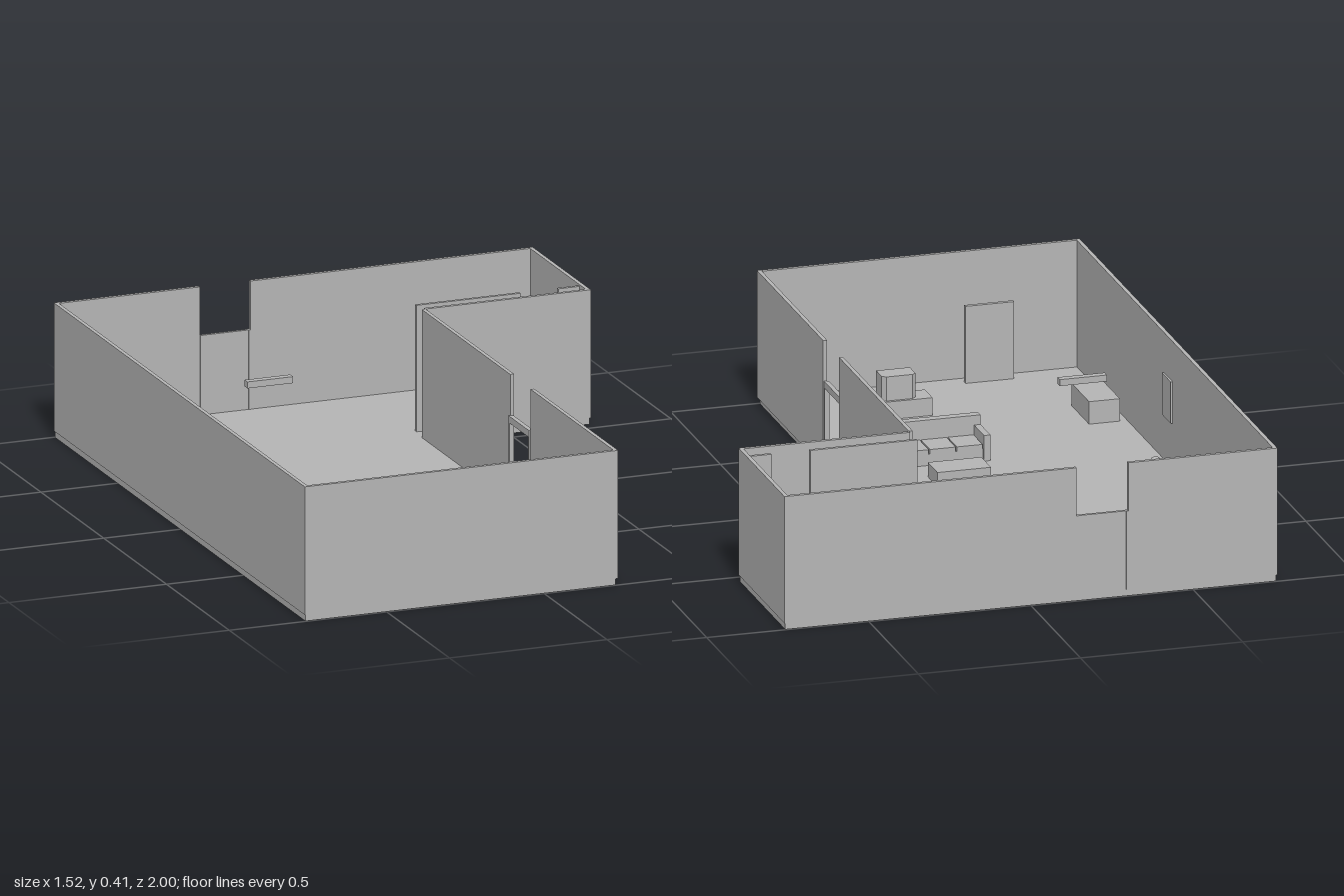
import * as THREE from 'three';

const grey = new THREE.MeshStandardMaterial({ color: 0xb4b4b4 });
grey.name = 'plain grey';

const FLOOR = 0.02, TOP = 0.415, T = 0.012, DOOR = 0.265;

function add(parent, name, geometry) {
  const mesh = new THREE.Mesh(geometry, grey);
  mesh.name = name;
  parent.add(mesh);
  return mesh;
}

// Box given by its limits on each axis
function block(parent, name, x0, x1, y0, y1, z0, z1) {
  const mesh = add(parent, name, new THREE.BoxGeometry(x1 - x0, y1 - y0, z1 - z0));
  mesh.position.set((x0 + x1) / 2, (y0 + y1) / 2, (z0 + z1) / 2);
  return mesh;
}

function section(parent, name) {
  const group = new THREE.Group();
  group.name = name;
  parent.add(group);
  return group;
}

// Two posts and a header, running along x
function doorFrame(parent, width, depth) {
  const h = width / 2;
  for (const s of [-1, 1]) {
    const post = block(parent, 'doorPost', -0.003, 0.003, FLOOR, 0.27, -depth / 2, depth / 2);
    post.position.x = s * (h - 0.003);
  }
  block(parent, 'doorHeader', -h, h, 0.267, 0.288, -depth / 2, depth / 2);
}

export function createModel() {
  const room = new THREE.Group();
  room.name = 'room';

  // L-shaped floor slab
  const plan = new THREE.Shape([
    [-0.757, -0.997], [0.227, -0.997], [0.227, 0.538], [0.757, 0.538], [0.757, 0.997], [-0.757, 0.997],
  ].map(([x, y]) => new THREE.Vector2(x, y)));
  const slab = new THREE.ExtrudeGeometry(plan, { depth: FLOOR, bevelEnabled: false });
  slab.rotateX(-Math.PI / 2);
  add(room, 'floor', slab);

  // Outer walls: x0, x1, z0, z1, with full-height gaps at the doorways
  const walls = section(room, 'walls');
  for (const [x0, x1, z0, z1] of [
    [-0.76, -0.76 + T, -1, 1],
    [-0.76 + T, 0.235 - T, 1 - T, 1],
    [0.235 - T, 0.235, 0.33, 1],
    [0.235 - T, 0.235, -0.535, 0.17],
    [0.235, 0.76 - T, -0.535 - T, -0.535],
    [0.76 - T, 0.76, -1, -0.535],
    [-0.14, 0.76 - T, -1, -1 + T],
    [-0.76 + T, -0.3, -1, -1 + T],
  ]) block(walls, 'wall', x0, x1, FLOOR, TOP, z0, z1);

  // Partition of the side room, with a door in its gap
  const partition = section(room, 'partition');
  block(partition, 'partitionWall', 0.23, 0.56, FLOOR, 0.41, -0.605, -0.594);
  block(partition, 'partitionWall', 0.68, 0.748, FLOOR, 0.41, -0.605, -0.594);
  block(partition, 'partitionDoor', 0.56, 0.68, FLOOR, DOOR, -0.603, -0.596);

  // Side doorway, open
  const sideDoor = section(room, 'sideDoorway');
  doorFrame(sideDoor, 0.16, 0.014);
  sideDoor.rotation.y = Math.PI / 2;
  sideDoor.position.set(0.225, 0, 0.25);

  // Back doorway, closed
  const backDoor = section(room, 'backDoor');
  block(backDoor, 'doorPanel', -0.08, 0.08, FLOOR, DOOR, -0.005, 0.005);
  for (const s of [-1, 1]) {
    block(backDoor, 'doorPost', s * 0.077 - 0.003, s * 0.077 + 0.003, FLOOR, DOOR, -0.007, 0.007);
  }
  backDoor.position.set(-0.22, 0, -0.993);

  // Door standing near the front wall
  block(room, 'frontDoor', -0.54, -0.39, FLOOR, 0.26, 0.94, 0.953);

  // Wall picture and hanging bar
  block(room, 'wallPicture', -0.75, -0.742, 0.16, 0.29, 0.02, 0.11);
  block(room, 'hangingBar', -0.495, -0.35, 0.37, 0.39, -0.145, -0.122);

  // Sofa facing the back
  const sofa = section(room, 'sofa');
  block(sofa, 'sofaBase', -0.25, 0.03, FLOOR, 0.055, 0.255, 0.36);
  block(sofa, 'sofaBack', -0.255, 0.035, FLOOR, 0.13, 0.345, 0.372);
  for (const x of [-0.255, 0.015]) block(sofa, 'sofaArm', x, x + 0.02, FLOOR, 0.1, 0.245, 0.345);
  for (let i = 0; i < 3; i++) {
    const x = -0.233 + i * 0.083;
    block(sofa, 'sofaCushion', x, x + 0.079, 0.055, 0.07, 0.253, 0.345);
  }

  // Low furniture
  block(room, 'coffeeTable', -0.2, -0.035, FLOOR, 0.065, 0.06, 0.158);
  block(room, 'cabinet', -0.725, -0.63, FLOOR, 0.09, 0.478, 0.655);
  block(room, 'televisionStand', -0.212, -0.02, FLOOR, 0.075, 0.69, 0.768);

  // Television with its rear corners cut
  const outline = new THREE.Shape([
    [-0.052, -0.765], [0.052, -0.765], [0.052, -0.71], [0.04, -0.7], [-0.04, -0.7], [-0.052, -0.71],
  ].map(([x, y]) => new THREE.Vector2(x, y)));
  const tv = new THREE.ExtrudeGeometry(outline, { depth: 0.075, bevelEnabled: false });
  tv.rotateX(-Math.PI / 2);
  add(room, 'television', tv).position.set(-0.113, 0.075, 0);

  // Potted tree with three lens-shaped tiers
  const tree = section(room, 'pottedTree');
  block(tree, 'pot', -0.039, 0.039, FLOOR, 0.078, -0.039, 0.039);
  add(tree, 'trunk', new THREE.CylinderGeometry(0.01, 0.01, 0.13, 12)).position.y = 0.13;
  for (const [r, y, h] of [[0.065, 0.1, 0.024], [0.048, 0.145, 0.026], [0.033, 0.182, 0.024], [0.018, 0.208, 0.018]]) {
    const tier = add(tree, 'treeTier', new THREE.SphereGeometry(1, 24, 12));
    tier.scale.set(r, h, r);
    tier.position.y = y;
  }
  tree.position.set(-0.555, 0, -0.44);

  return room;
}
